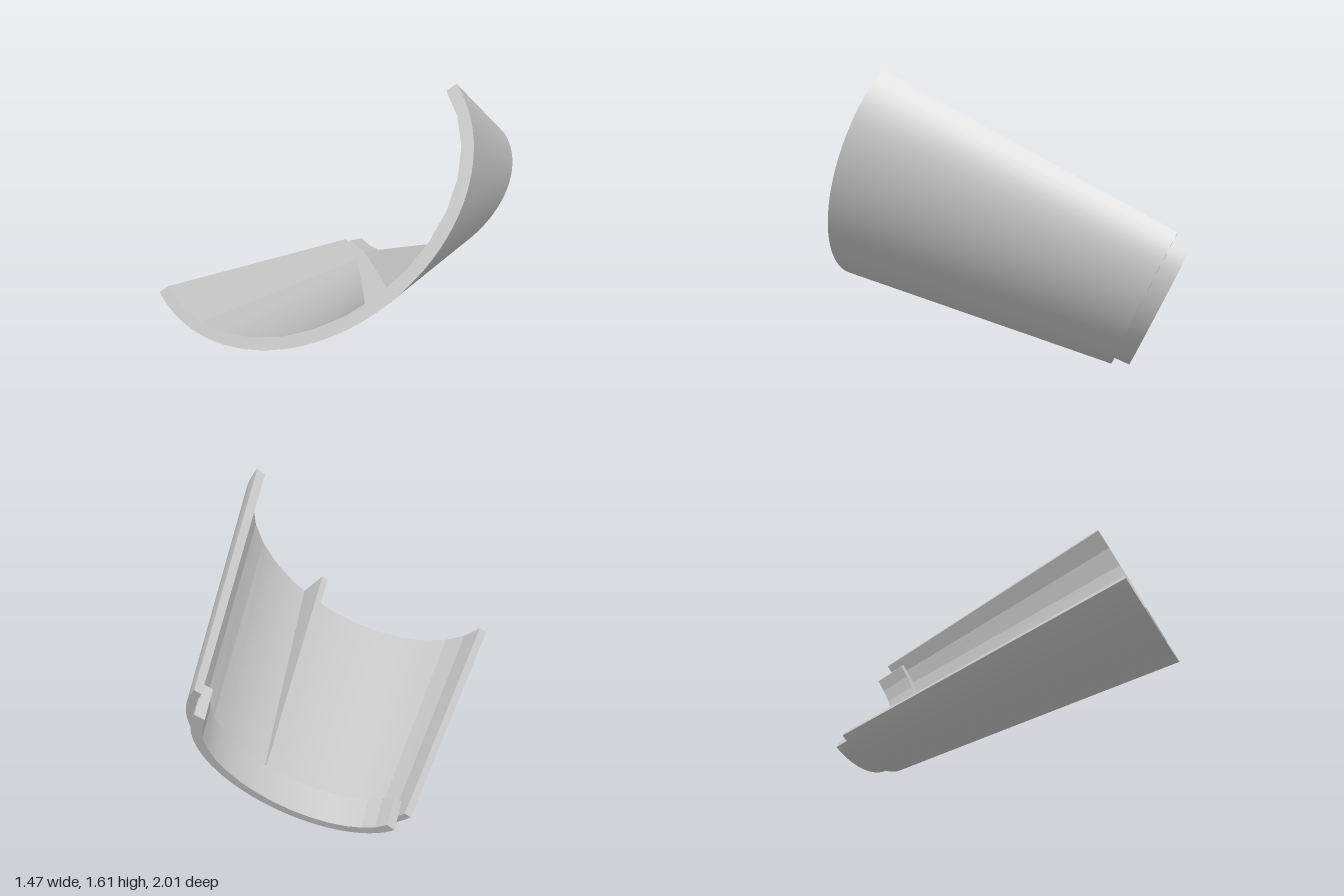
import * as THREE from 'three';
import { toCreasedNormals } from 'three/addons/utils/BufferGeometryUtils.js';

const LENGTH = 1.576;                      // front face to rear face, along the axis
const AX = 0.745, AY = 0.667;              // direction of the chord in the section plane
const FRONT = [-0.07, 0.78], REAR = [0.02, 0.862]; // section centres

// Local (along the chord, depth below it) to section plane (x, y)
const place = (c, s, d) => [c[0] + s * AX + d * AY, c[1] + s * AY - d * AX];

// Half-ellipse band: fine outer arc, coarser inner arc
function band(outer, inner, outerSteps, innerSteps, trim) {
  const arc = ([a, b], n) => Array.from({ length: n + 1 }, (_, i) => {
    const t = trim + (Math.PI - 2 * trim) * i / n;
    return [-a * Math.cos(t), b * Math.sin(t)];
  });
  return [...arc(outer, outerSteps), ...arc(inner, innerSteps).reverse()];
}

// Extrude a section from z0 (rear) to z1 (front), moving the rear corners by a rule
function loft(points, z0, z1, rearRule, crease) {
  const shape = new THREE.Shape(points.map(p => new THREE.Vector2(p[0], p[1])));
  const geo = new THREE.ExtrudeGeometry(shape, { depth: z1 - z0, bevelEnabled: false });
  const pos = geo.attributes.position;
  for (let i = 0; i < pos.count; i++) {
    const rear = pos.getZ(i) < (z1 - z0) / 2;
    const [x, y] = rear ? rearRule(pos.getX(i), pos.getY(i)) : [pos.getX(i), pos.getY(i)];
    pos.setXYZ(i, x, y, rear ? z0 : z1);
  }
  return toCreasedNormals(geo, crease);
}

// Rule that scales a section about one centre and moves it to another
const taper = (from, to, ks, kd) => (x, y) => {
  const dx = x - from[0], dy = y - from[1];
  return place(to, (dx * AX + dy * AY) * ks, (dx * AY - dy * AX) * kd);
};

export function createModel() {
  const grey = new THREE.MeshStandardMaterial({ color: 0xc8c8c8 });
  grey.name = 'light grey';
  const model = new THREE.Group();
  model.name = 'taperedHalfShell';
  const body = new THREE.Group();
  body.name = 'tiltedBody';
  body.position.set(0, 0.335, 1);
  body.rotation.x = -0.417;
  model.add(body);

  const add = (name, geo) => {
    const mesh = new THREE.Mesh(geo, grey);
    mesh.name = name;
    body.add(mesh);
  };

  // Tapered half-elliptical wall
  const wall = band([0.9, 0.66], [0.845, 0.6], 48, 15, 0).map(p => place(FRONT, ...p));
  add('shell', loft(wall, -LENGTH, 0, taper(FRONT, REAR, 0.715, 0.666), 0.2));

  // Inset lip that protrudes from the rear end
  const lip = band([0.608, 0.41], [0.553, 0.36], 40, 15, 0.11).map(p => place(REAR, ...p));
  add('rearLip', loft(lip, -LENGTH - 0.085, -LENGTH + 0.09, taper(REAR, REAR, 0.975, 0.975), 0.2));

  // Inner rib: level crest, base following the narrowing wall
  const crestLeft = [0.27, 0.552], crestRight = [0.3, 0.58];
  const rib = [[0.36, 0.3], [0.475, 0.4], crestRight, crestLeft];
  const ribRear = (x, y) => (x > 0.4 ? [0.315, 0.562] : x > 0.33 ? [0.288, 0.535] : [x, y]);
  add('innerRib', loft(rib, -LENGTH + 0.03, 0, ribRear, 0.2));

  return model;
}
